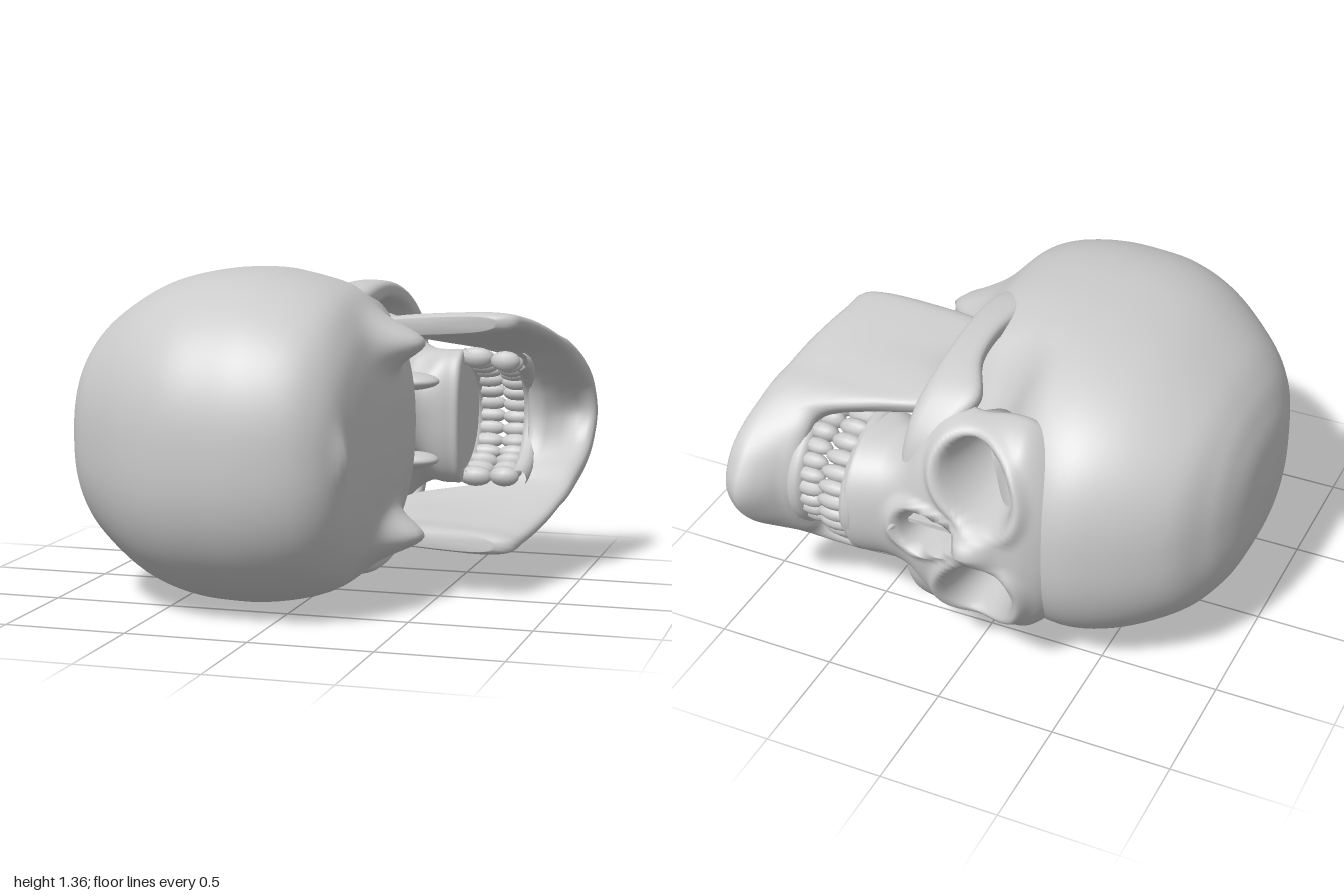
import * as THREE from 'three';

const material = new THREE.MeshStandardMaterial({ color: 0xcccccc });
const smooth = (a, b, v) => {
  const t = Math.min(1, Math.max(0, (v - a) / (b - a)));
  return t * t * (3 - 2 * t);
};
const bell = (v, w) => Math.exp(-((v / w) ** 2));
const spow = (v, e) => Math.sign(v) * Math.pow(Math.abs(v), e);

// Smoothly resample a small table of section rows
function resample(rows, steps) {
  const out = [], n = rows.length - 1;
  for (let k = 0; k <= n * steps; k++) {
    const i = Math.min(n - 1, Math.floor(k / steps)), t = k / steps - i;
    const r = (q) => rows[Math.min(n, Math.max(0, q))];
    out.push(rows[0].map((_, c) => {
      const [a, b, d, e] = [r(i - 1)[c], r(i)[c], r(i + 1)[c], r(i + 2)[c]];
      return b + 0.5 * t * (d - a + t * (2 * a - 5 * b + 4 * d - e + t * (3 * (b - d) + e - a)));
    }));
  }
  return out;
}

// Closed loops joined into a capped skin
function loft(loops) {
  const pos = [], idx = [], n = loops[0].length, m = loops.length;
  loops.forEach((l) => l.forEach((p) => pos.push(p.x, p.y, p.z)));
  const centre = (l) => {
    const c = l.reduce((s, p) => s.add(p), new THREE.Vector3()).divideScalar(n);
    pos.push(c.x, c.y, c.z);
  };
  centre(loops[0]);
  centre(loops[m - 1]);
  for (let j = 0; j < n; j++) {
    const k = (j + 1) % n;
    for (let i = 0; i < m - 1; i++) {
      const a = i * n + j, b = i * n + k;
      idx.push(a, a + n, b, b, a + n, b + n);
    }
    idx.push(m * n, j, k, (m - 1) * n + j, m * n + 1, (m - 1) * n + k);
  }
  const g = new THREE.BufferGeometry();
  g.setAttribute('position', new THREE.Float32BufferAttribute(pos, 3));
  g.setIndex(idx);
  g.computeVertexNormals();
  return g;
}

// Horizontal sections [y, back, middle, front, halfWidth], then a shaping rule
function stack(rows, steps, sides, power, shape) {
  return loft(resample(rows, steps).map(([y, zb, zm, zf, w]) =>
    Array.from({ length: sides }, (_, j) => {
      const a = (j / sides) * Math.PI * 2, c = spow(Math.cos(a), 2 / power);
      const p = new THREE.Vector3(w * spow(Math.sin(a), 2 / power), y, zm + c * (c > 0 ? zf - zm : zm - zb));
      shape(p);
      return p;
    })));
}

// Upright band of bone: [xTop, xBottom, zTop, zBottom, yTop, yBottom, halfThickness, forwardBulge]
function band(rows) {
  const path = resample(rows, 5);
  return loft(path.map(([xt, xb, zt, zb, yt, yb, th, bulge], i) => {
    const p = path[Math.max(0, i - 1)], q = path[Math.min(path.length - 1, i + 1)];
    const t = new THREE.Vector2(q[0] + q[1] - p[0] - p[1], q[2] + q[3] - p[2] - p[3]).normalize();
    return Array.from({ length: 28 }, (_, j) => {
      const a = (j / 28) * Math.PI * 2;
      const k = (1 - spow(Math.cos(a), 0.6)) / 2, o = spow(Math.sin(a), 0.7) * th;
      const z = zt + (zb - zt) * k + bulge * bell(k - 0.64, 0.22);
      return new THREE.Vector3(xt + (xb - xt) * k + t.y * o, yt + (yb - yt) * k, z - t.x * o);
    });
  }));
}
const mirror = (rows) => rows.map(([a, b, ...r]) => [-a, -b, ...r]).reverse();

export function createModel() {
  // Built upright facing +z, then laid on its side
  const skull = new THREE.Group();
  skull.name = 'skull';
  const add = (name, geo, parent = skull) => {
    const m = new THREE.Mesh(geo, material);
    m.name = name;
    parent.add(m);
    return m;
  };
  const blob = (name, p, r, parent = skull) => {
    const m = add(name, new THREE.SphereGeometry(1, 24, 16), parent);
    m.position.set(...p);
    m.scale.set(...r);
  };

  // Braincase with hollowed temples, mastoids and a ridge low on the back
  add('cranium', stack([
    [1, -0.02, 0, 0.02, 0.01], [0.985, -0.25, 0, 0.23, 0.2], [0.95, -0.4, 0, 0.37, 0.31],
    [0.9, -0.53, 0, 0.47, 0.4], [0.8, -0.66, -0.02, 0.61, 0.5], [0.6, -0.83, -0.08, 0.745, 0.615],
    [0.4, -0.925, -0.13, 0.81, 0.668], [0.2, -0.95, -0.15, 0.75, 0.68], [0.05, -0.95, -0.18, 0.58, 0.665],
    [-0.1, -0.92, -0.2, 0.5, 0.63], [-0.2, -0.87, -0.2, 0.45, 0.58], [-0.27, -0.79, -0.2, 0.4, 0.49],
    [-0.31, -0.66, -0.2, 0.32, 0.4], [-0.34, -0.5, -0.18, 0.2, 0.29], [-0.365, -0.33, -0.15, 0.05, 0.17],
    [-0.37, -0.2, -0.15, -0.1, 0.03],
  ], 6, 110, 2.4, (p) => {
    const ax = Math.abs(p.x);
    p.x *= 1 - 0.25 * smooth(0.2, 0.42, p.z) * smooth(0.25, -0.05, p.y);
    p.y -= 0.17 * bell(ax - 0.4, 0.085) * bell(p.z + 0.18, 0.13) * smooth(-0.05, -0.26, p.y);
    p.y -= 0.03 * bell(ax, 0.09) * bell(p.z + 0.74, 0.04) * smooth(-0.15, -0.25, p.y);
  }));
  blob('skullBase', [0, -0.16, 0.3], [0.27, 0.14, 0.26]);

  // Face with eye sockets, nasal bones and nasal opening
  add('face', stack([
    [0.42, 0.3, 0.5, 0.76, 0.3], [0.34, 0.3, 0.55, 0.825, 0.41], [0.26, 0.25, 0.58, 0.86, 0.475],
    [0.18, 0.2, 0.58, 0.845, 0.49], [0.05, 0.2, 0.58, 0.83, 0.48], [-0.08, 0.2, 0.57, 0.84, 0.48],
    [-0.16, 0.2, 0.56, 0.84, 0.44], [-0.24, 0.25, 0.55, 0.83, 0.35], [-0.32, 0.35, 0.55, 0.85, 0.295],
    [-0.42, 0.4, 0.55, 0.875, 0.29], [-0.465, 0.42, 0.55, 0.87, 0.285], [-0.475, 0.46, 0.55, 0.8, 0.23],
  ], 9, 140, 2.35, (p) => {
    p.x *= 1 - 0.4 * smooth(0.6, 0.4, p.z) * smooth(-0.4, -0.25, p.y);
    if (p.z < 0.5) return;
    const ax = Math.abs(p.x);
    const eye = Math.hypot((ax - 0.265) / 0.17, (p.y - 0.09 + (ax - 0.265) * 0.25) / 0.165);
    const nose = Math.hypot(p.x / (0.085 - 0.25 * (p.y + 0.1)), (p.y + 0.1) / 0.14);
    p.z += 0.025 * bell(eye - 1.15, 0.15);
    p.z += 0.11 * bell(p.x, 0.065) * smooth(0.27, 0.07, p.y) * smooth(-0.03, 0.06, p.y);
    p.z += 0.03 * bell(nose - 1.2, 0.2) * smooth(0.06, -0.05, p.y);
    p.z -= Math.max(0.36 * smooth(1, 0.45, eye) * Math.min(1, (p.z - 0.35) / 0.4), 0.28 * smooth(1, 0.6, nose));
  }));
  const septum = add('nasalSeptum', new THREE.BoxGeometry(0.018, 0.25, 0.22));
  septum.position.set(0.01, -0.1, 0.67);
  const spine = add('nasalSpine', new THREE.ConeGeometry(0.03, 0.09, 8));
  spine.position.set(0, -0.26, 0.85);
  spine.rotation.x = Math.PI / 2;

  // Cheekbone sweeping back into its arch and the side of the braincase
  const cheek = [
    [0.52, 0.5, -0.24, -0.22, 0.0, -0.16, 0.05, 0], [0.54, 0.53, -0.1, -0.09, -0.01, -0.2, 0.055, 0],
    [0.565, 0.56, 0.04, 0.04, -0.05, -0.22, 0.05, 0], [0.575, 0.57, 0.22, 0.22, -0.08, -0.22, 0.04, 0],
    [0.55, 0.55, 0.4, 0.4, -0.07, -0.22, 0.04, 0], [0.5, 0.5, 0.56, 0.55, 0.0, -0.23, 0.045, 0],
    [0.42, 0.42, 0.65, 0.64, -0.05, -0.25, 0.05, 0], [0.33, 0.32, 0.71, 0.7, -0.1, -0.26, 0.05, 0],
    [0.2, 0.2, 0.75, 0.73, -0.14, -0.27, 0.04, 0],
  ];
  for (const s of [1, -1]) {
    const side = new THREE.Group();
    side.name = s > 0 ? 'rightSideBones' : 'leftSideBones';
    skull.add(side);
    add('cheekArch', band(s > 0 ? cheek : mirror(cheek)), side);
    blob('pterygoidPlate', [s * 0.17, -0.25, 0.37], [0.04, 0.15, 0.1], side);
  }

  // Lower jaw, half a path mirrored around the chin
  const half = [
    [0.43, 0.46, 0.0, 0.01, -0.22, -0.72, 0.035, 0], [0.43, 0.465, 0.05, 0.05, -0.2, -0.8, 0.048, 0],
    [0.425, 0.455, 0.16, 0.15, -0.25, -0.82, 0.044, 0], [0.41, 0.43, 0.28, 0.26, -0.26, -0.85, 0.044, 0],
    [0.4, 0.39, 0.42, 0.38, -0.2, -0.885, 0.045, 0], [0.375, 0.35, 0.54, 0.49, -0.22, -0.91, 0.045, 0],
    [0.34, 0.32, 0.6, 0.57, -0.45, -0.93, 0.05, 0], [0.28, 0.27, 0.64, 0.66, -0.66, -0.95, 0.052, 0],
    [0.21, 0.2, 0.7, 0.76, -0.7, -0.975, 0.052, 0.01], [0.11, 0.12, 0.75, 0.83, -0.71, -0.99, 0.05, 0.04],
  ];
  const jaw = new THREE.Group();
  jaw.name = 'lowerJaw';
  skull.add(jaw);
  add('jawbone', band([...half, [0, 0, 0.77, 0.86, -0.71, -1, 0.05, 0.075], ...mirror(half)]), jaw);
  for (const s of [1, -1]) blob('jawCondyle', [s * 0.42, -0.23, 0.05], [0.085, 0.05, 0.05], jaw);

  // Gum ridges and teeth, spaced along a horseshoe
  const dental = (name, parent, y, yGum, z0, depth, width, h) => {
    const at = (a) => [width * Math.sin(a), z0 + depth * Math.cos(a)];
    const gum = Array.from({ length: 15 }, (_, i) => {
      const [x, z] = at(((i - 7) / 7) * 1.5);
      return new THREE.Vector3(x, yGum, z);
    });
    add(name + 'GumRidge', new THREE.TubeGeometry(new THREE.CatmullRomCurve3(gum), 40, 0.04, 10), parent);
    for (let i = 0; i < 14; i++) {
      const a = ((i - 6.5) / 6.5) * 1.4, [x, z] = at(a), molar = Math.abs(a) > 0.85;
      const tooth = add(name + 'Tooth', new THREE.SphereGeometry(1, 10, 8), parent);
      tooth.position.set(x, y, z);
      tooth.scale.set(molar ? 0.04 : 0.035, h, molar ? 0.045 : 0.032);
      tooth.rotation.y = Math.atan2(x / width ** 2, (z - z0) / depth ** 2);
    }
  };
  dental('upper', skull, -0.52, -0.455, 0.5, 0.345, 0.265, 0.075);
  dental('lower', jaw, -0.655, -0.72, 0.47, 0.33, 0.255, 0.065);

  // Lay down: crown toward -x, face toward -z
  skull.quaternion.setFromRotationMatrix(new THREE.Matrix4().makeBasis(
    new THREE.Vector3(0, -1, 0), new THREE.Vector3(-1, 0, 0), new THREE.Vector3(0, 0, -1)));
  skull.position.y = 0.685;
  const model = new THREE.Group();
  model.add(skull);
  return model;
}
